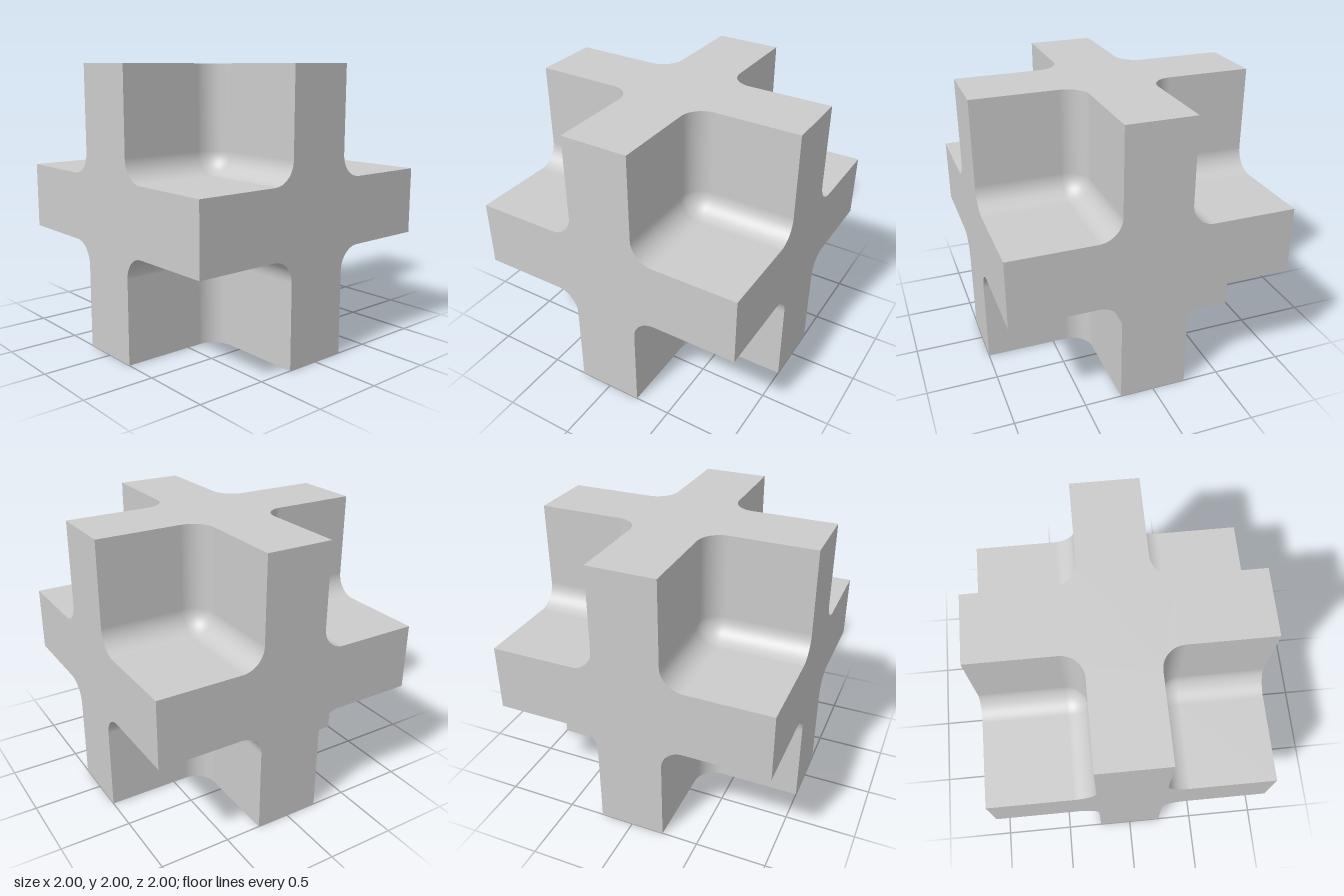
import * as THREE from 'three';

const HALF = 1;          // half the overall size
const W = 0.24;          // half the slab thickness
const R = 0.16;          // fillet radius
const C = W + R;         // fillet centre
const N = 8;             // segments per half fillet

// Flat plus-shaped outer face with filleted inner corners
function crossGeometry() {
  const shape = new THREE.Shape();
  shape.moveTo(HALF, -W);
  for (let k = 0; k < 4; k++) {
    const a = k * Math.PI / 2, cos = Math.cos(a), sin = Math.sin(a);
    const line = (x, y) => shape.lineTo(x * cos - y * sin, x * sin + y * cos);
    line(HALF, W);
    line(C, W);
    shape.absarc(C * (cos - sin), C * (sin + cos), R, a - Math.PI / 2, a - Math.PI, true);
    line(W, HALF);
  }
  return new THREE.ShapeGeometry(shape, N);
}

// Corner pocket: three walls blended by quarter-round edges and a round inner corner
function pocketGeometry(sign) {
  const pos = [], nor = [], idx = [];
  const flip = sign[0] * sign[1] * sign[2] < 0;
  const size = N + 2;
  const slope = i => (i >= N ? 0 : -Math.tan((1 - i / N) * Math.PI / 4));
  const core = i => (i > N ? HALF : C);
  for (let a = 0; a < 3; a++) {
    const u = (a + 1) % 3, v = (a + 2) % 3, base = pos.length / 3;
    for (let j = 0; j < size; j++) {
      for (let i = 0; i < size; i++) {
        const n = [0, 0, 0], c = [0, 0, 0];
        n[a] = -1; n[u] = slope(i); n[v] = slope(j);
        c[a] = C; c[u] = core(i); c[v] = core(j);
        const len = Math.hypot(...n);
        for (let k = 0; k < 3; k++) {
          pos.push(sign[k] * (c[k] + R * n[k] / len));
          nor.push(-sign[k] * n[k] / len);
        }
        if (i && j) {
          const p = base + j * size + i, q = p - 1, s = p - size, t = s - 1;
          if (flip) idx.push(t, p, s, t, q, p);
          else idx.push(t, s, p, t, p, q);
        }
      }
    }
  }
  const g = new THREE.BufferGeometry();
  g.setAttribute('position', new THREE.Float32BufferAttribute(pos, 3));
  g.setAttribute('normal', new THREE.Float32BufferAttribute(nor, 3));
  g.setIndex(idx);
  return g;
}

export function createModel() {
  const model = new THREE.Group();
  model.name = 'interlockedSlabs';
  const material = new THREE.MeshStandardMaterial({ color: 0xcccccc });
  const add = (geometry, name) => {
    const mesh = new THREE.Mesh(geometry, material);
    mesh.name = name;
    mesh.position.y = HALF;
    model.add(mesh);
    return mesh;
  };

  // Six outer cross faces
  const cross = crossGeometry().translate(0, 0, HALF);
  const turns = { front: [0, 0], left: [0, 1], back: [0, 2], right: [0, 3], top: [-1, 0], bottom: [1, 0] };
  for (const [side, [rx, ry]] of Object.entries(turns)) {
    add(cross, side + 'CrossFace').rotation.set(rx * Math.PI / 2, ry * Math.PI / 2, 0);
  }

  // Eight corner pockets
  for (const x of [1, -1]) for (const y of [1, -1]) for (const z of [1, -1]) {
    const name = (y > 0 ? 'upper' : 'lower') + (z > 0 ? 'Front' : 'Back') + (x > 0 ? 'Left' : 'Right') + 'Pocket';
    add(pocketGeometry([x, y, z]), name);
  }
  return model;
}
